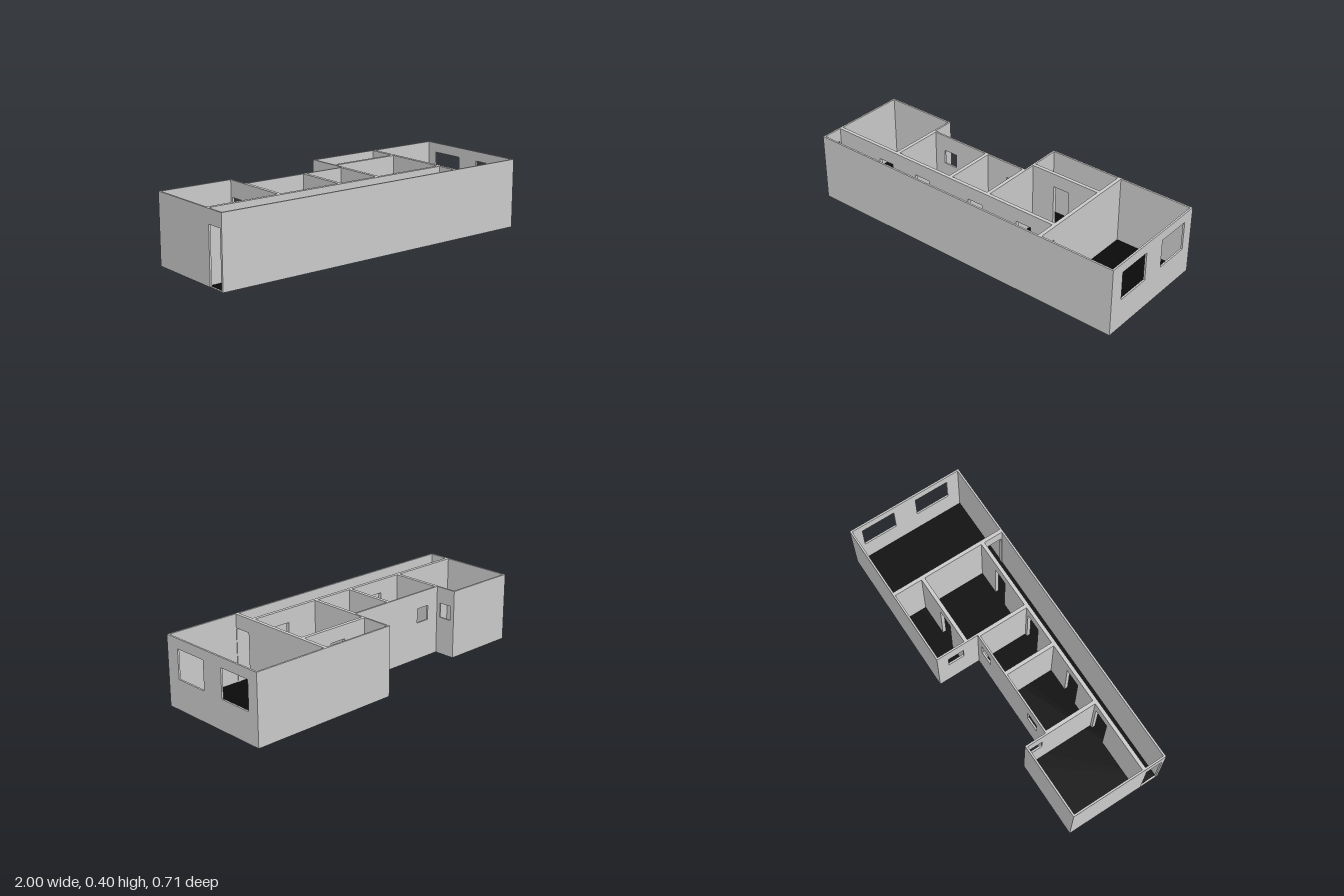
import * as THREE from 'three';

const H = 0.4;        // wall height
const T = 0.0105;     // outer wall thickness, inner walls are twice this
const SLAB = 0.004;   // base slab thickness
const DOOR = 0.32, WIN = [0.22, 0.305], BIG = [0.174, 0.343];

// plan lines of the outline and partitions
const XA = -0.553, XB = -0.165, XC = 0.097, XD = 0.546;
const ZF = 0.355, ZH = 0.2205, ZE = -0.167, ZM = -0.097, ZA = -0.225, ZB = -0.355;

const grey = new THREE.MeshStandardMaterial({ color: 0xcccccc, flatShading: true });
const black = new THREE.MeshStandardMaterial({ color: 0x0a0a0a, flatShading: true });

const door = (a, b) => ({ a, b, door: true });
const win = (a, b, y = WIN) => ({ a, b, y });

// wall elevation from a to b, doors cut as notches and windows as holes
function wallGeometry(a, b, depth, openings) {
  const pts = [[a, SLAB]];
  for (const o of openings.filter(o => o.door))
    pts.push([o.a, SLAB], [o.a, DOOR], [o.b, DOOR], [o.b, SLAB]);
  pts.push([b, SLAB], [b, H], [a, H]);
  const shape = new THREE.Shape(pts.map(p => new THREE.Vector2(...p)));
  for (const o of openings.filter(o => !o.door)) {
    const [y0, y1] = o.y;
    shape.holes.push(new THREE.Path([[o.a, y0], [o.a, y1], [o.b, y1], [o.b, y0]]
      .map(p => new THREE.Vector2(...p))));
  }
  return new THREE.ExtrudeGeometry(shape, { depth, bevelEnabled: false });
}

// horizontal plate following the house outline, inset by d
function plate(d, thickness, top) {
  const pts = [
    [-1 + d, ZF - d], [1 - d, ZF - d], [1 - d, ZB + d], [XC + d, ZB + d],
    [XC + d, ZM + d], [XA - d, ZM + d], [XA - d, ZA + d], [-1 + d, ZA + d],
  ];
  const shape = new THREE.Shape(pts.map(p => new THREE.Vector2(...p)));
  const g = new THREE.ExtrudeGeometry(shape, { depth: thickness, bevelEnabled: false });
  return g.rotateX(Math.PI / 2).translate(0, top, 0);
}

export function createModel() {
  const group = new THREE.Group();
  const add = (name, geometry, material = grey) => {
    const mesh = new THREE.Mesh(geometry, material);
    mesh.name = name;
    group.add(mesh);
  };
  // wall running along x, filling z0..z1
  const wallX = (name, z0, z1, a, b, openings = []) =>
    add(name, wallGeometry(a, b, z1 - z0, openings).translate(0, 0, z0));
  // wall running along z, filling x0..x1
  const wallZ = (name, x0, x1, a, b, openings = []) =>
    add(name, wallGeometry(a, b, x1 - x0, openings).rotateY(-Math.PI / 2).translate(x1, 0, 0));

  // base and dark floor
  add('baseSlab', plate(0, SLAB, SLAB));
  add('floor', plate(T * 0.9, 0.002, SLAB + 0.002), black);

  // walls along x
  wallX('frontWall', ZF - T, ZF, -1, 1);
  wallX('hallWall', ZH - T, ZH + T, -1 + T, XD - T,
    [door(-0.68, -0.58), door(-0.41, -0.31), door(-0.03, 0.07), door(0.30, 0.396)]);
  wallX('backWallEndRoom', ZA, ZA + T, -1, XA);
  wallX('backWallMiddle', ZM, ZM + T, XA + T, XC - T,
    [win(-0.476, -0.39), win(-0.024, 0.06)]);
  wallX('backWallWing', ZB, ZB + T, XC, 1);
  wallX('closetWall', ZE - T, ZE + T, XC + T, XD - T, [door(0.25, 0.35)]);

  // walls along z
  wallZ('entranceWall', -1, -1 + T, ZA + T, ZF - T, [door(0.241, 0.341)]);
  wallZ('endRoomSideWall', XA - T, XA, ZA + T, ZM, [win(-0.2, -0.12)]);
  wallZ('endRoomPartition', XA - T, XA + T, ZM, ZH - T);
  wallZ('middlePartition', XB - T, XB + T, ZM + T, ZH - T);
  wallZ('wingPartition', XC - T, XC + T, ZM, ZH - T);
  wallZ('wingSideWall', XC, XC + T, ZB + T, ZM, [win(-0.287, -0.19)]);
  wallZ('livingRoomPartition', XD - T, XD + T, ZB + T, ZF - T, [door(0.241, 0.341)]);
  wallZ('windowWall', 1 - T, 1, ZB + T, ZF - T,
    [win(-0.287, -0.08, BIG), win(0.061, 0.27, BIG)]);

  return group;
}
